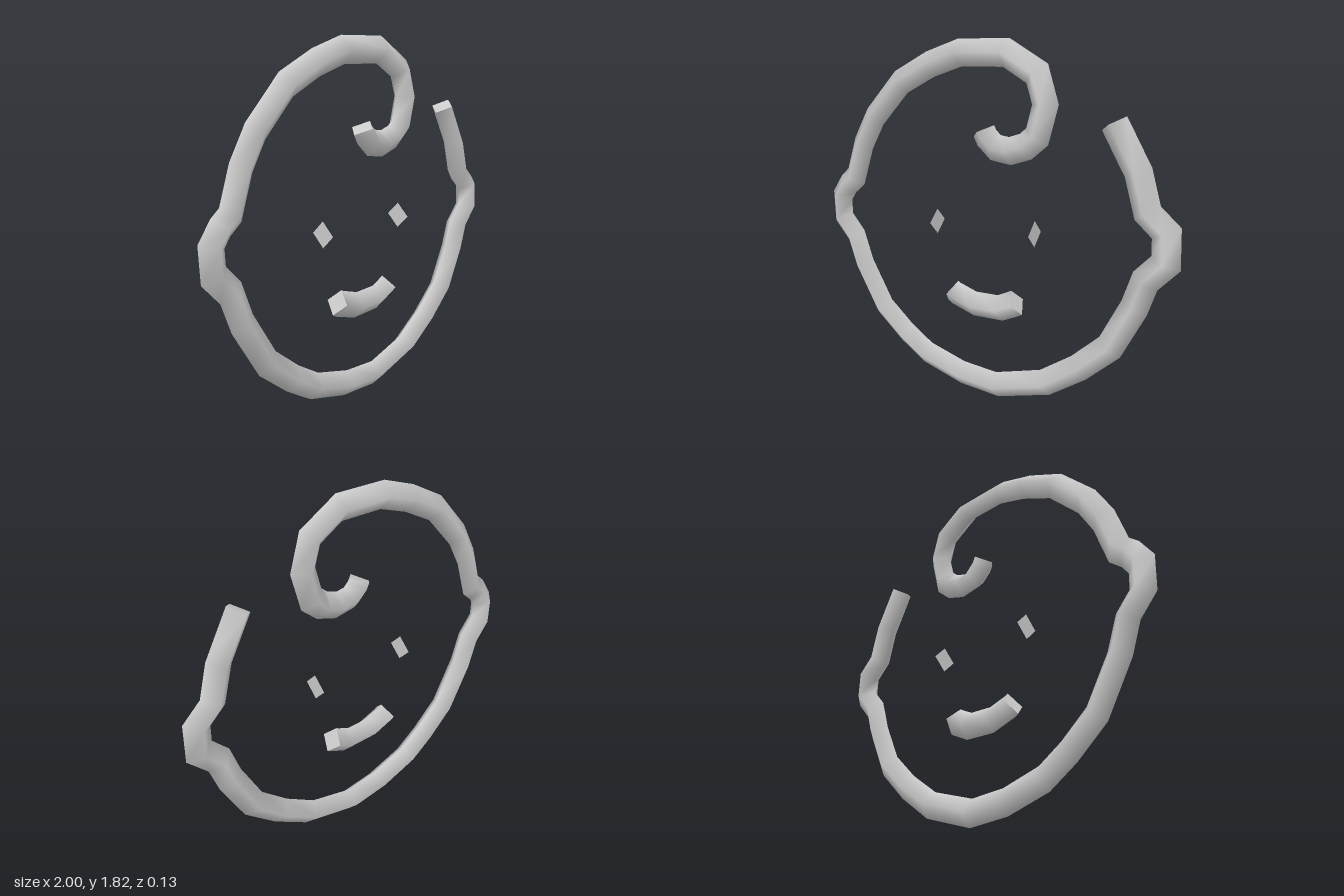
import * as THREE from 'three';

const RADIUS = 0.066;

// Sweeps a diamond cross-section along a flat path, with mitred joints and closed ends
function diamondTube(path) {
  const pts = path.map(([x, y]) => new THREE.Vector2(x, y));
  const last = pts.length - 1;
  const dir = (i) => pts[i + 1].clone().sub(pts[i]).normalize();
  const pos = [], index = [];

  pts.forEach((p, i) => {
    const before = dir(Math.max(i - 1, 0));
    const after = dir(Math.min(i, last - 1));
    const t = before.clone().add(after).normalize();
    const w = RADIUS / t.dot(after);
    const nx = -t.y * w, ny = t.x * w;
    pos.push(p.x + nx, p.y + ny, 0, p.x, p.y, RADIUS);
    pos.push(p.x - nx, p.y - ny, 0, p.x, p.y, -RADIUS);
  });

  for (let i = 0; i < last; i++) {
    for (let j = 0; j < 4; j++) {
      const a = i * 4 + j, b = i * 4 + (j + 1) % 4;
      index.push(a, b, b + 4, a, b + 4, a + 4);
    }
  }

  // End caps have their own corners so that their rims stay sharp
  const start = pos.length / 3, end = start + 4;
  pos.push(...pos.slice(0, 12), ...pos.slice(last * 12, last * 12 + 12));
  index.push(start, start + 2, start + 1, start, start + 3, start + 2);
  index.push(end, end + 1, end + 2, end, end + 2, end + 3);

  const geo = new THREE.BufferGeometry();
  geo.setAttribute('position', new THREE.Float32BufferAttribute(pos, 3));
  geo.setIndex(index);
  geo.computeVertexNormals();
  return geo;
}

export function createModel() {
  const group = new THREE.Group();
  group.name = 'faceOutline';
  const grey = new THREE.MeshStandardMaterial({ color: 0xcccccc, side: THREE.DoubleSide });
  grey.name = 'light grey';

  const add = (name, geo) => {
    const mesh = new THREE.Mesh(geo, grey);
    mesh.name = name;
    group.add(mesh);
    return mesh;
  };

  // Head: open end, left ear, chin, right ear, crown, then the curl of hair
  add('headAndCurl', diamondTube([
    [0.67, 1.45], [0.79, 1.24], [0.84, 1.065],
    [0.93, 0.985], [0.935, 0.85], [0.845, 0.755],
    [0.80, 0.62], [0.69, 0.405], [0.535, 0.265], [0.355, 0.145], [0.08, 0.067],
    [-0.135, 0.085], [-0.36, 0.15], [-0.50, 0.24], [-0.655, 0.37], [-0.79, 0.60],
    [-0.845, 0.755], [-0.93, 0.85], [-0.935, 0.975], [-0.885, 1.045], [-0.83, 1.09],
    [-0.765, 1.28], [-0.68, 1.425], [-0.50, 1.61], [-0.315, 1.70], [-0.14, 1.755],
    [0.12, 1.755], [0.285, 1.66], [0.33, 1.52], [0.29, 1.37],
    [0.23, 1.32], [0.145, 1.293], [0.065, 1.305], [0.015, 1.35], [-0.002, 1.383],
  ]));

  // Mouth
  add('mouth', diamondTube([
    [-0.19, 0.535], [-0.17, 0.524], [-0.055, 0.487],
    [0.095, 0.49], [0.17, 0.524], [0.19, 0.535],
  ]));

  // Eyes: thin diamonds facing sideways
  for (const [name, side] of [['leftEye', 1], ['rightEye', -1]]) {
    const eye = add(name, new THREE.CircleGeometry(RADIUS, 4));
    eye.rotation.y = Math.PI / 2;
    eye.position.set(side * 0.285, 0.9, 0);
  }

  return group;
}
